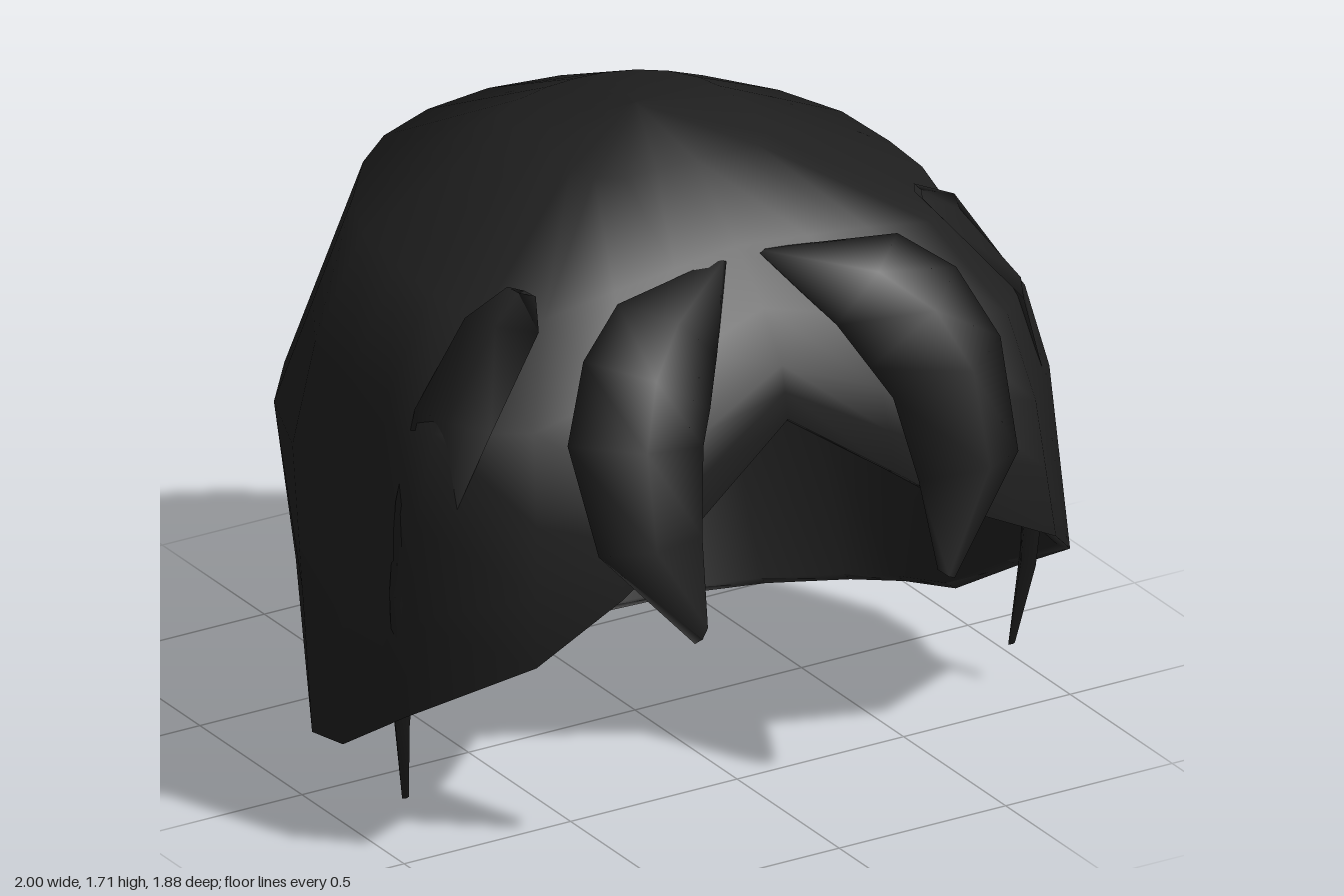
import * as THREE from 'three';

const hair = new THREE.MeshStandardMaterial({ color: 0x1f1f1f, side: THREE.DoubleSide });
hair.name = 'charcoal hair';

// Skins a list of closed rings (top to bottom, each counterclockwise from above)
function loft(rings, name) {
  const n = rings[0].length, index = [];
  for (let i = 0; i < rings.length - 1; i++) {
    for (let j = 0; j < n; j++) {
      const k = (j + 1) % n;
      const a = i * n + j, b = a + n, c = (i + 1) * n + k, d = i * n + k;
      index.push(a, b, c, a, c, d);
    }
  }
  const geometry = new THREE.BufferGeometry();
  geometry.setAttribute('position', new THREE.Float32BufferAttribute(rings.flat(2), 3));
  geometry.setIndex(index);
  geometry.computeVertexNormals();
  const mesh = new THREE.Mesh(geometry, hair);
  mesh.name = name;
  return mesh;
}

const flip = ([x, y, z]) => [-x, y, z];
const mirrorRings = rings => rings.map(r => r.map(flip).reverse());
// Completes a half ring running from front centre to back centre
const fullRing = half => [...half, ...half.slice(1, -1).reverse().map(flip)];
const mix = (a, b, t) => a.map((v, i) => v + (b[i] - v) * t);

function makeCap() {
  const rim = [[0, 1.11, .75], [.29, .91, .795], [.52, .74, .79], [.78, .61, .79],
    [1, .41, .5], [.95, .31, .33], [.92, .15, .07], [.89, .1, -.13],
    [.8, .08, -.25], [.63, .055, -.39], [.45, .035, -.48], [.22, .01, -.54], [0, 0, -.56]];
  const middle = [[0, 1.25, .72], [.27, 1.14, .77], [.5, 1.05, .77], [.75, .98, .74],
    [.95, .93, .48], [.93, .92, .25], [.91, .9, .05], [.9, .88, -.21],
    [.79, .87, -.48], [.63, .86, -.69], [.46, .86, -.83], [.24, .86, -.915], [0, .86, -.94]];
  const crown = [[0, 1.5, .5], [.2, 1.49, .52], [.38, 1.47, .52], [.58, 1.43, .5],
    [.71, 1.4, .38], [.74, 1.43, .2], [.74, 1.44, .04], [.72, 1.45, -.16],
    [.64, 1.46, -.34], [.51, 1.47, -.5], [.38, 1.47, -.61], [.2, 1.47, -.69], [0, 1.47, -.72]];
  // Rounds the front and sides, leaving the back straight
  const upper = middle.map((p, i) => {
    const [x, y, z] = mix(p, crown[i], .5);
    const s = i < 3 ? 1.03 : i < 7 ? 1.07 : i < 8 ? 1.04 : 1;
    return [x * s, y, z * s];
  });
  const lower = middle.map((p, i) => mix(p, rim[i], .5));
  // The top is a shallow dome with a slightly squared ring
  const top = crown.map(([x, , z]) => {
    const s = .29 / (x ** 4 + z ** 4) ** .25;
    const r = Math.hypot(x, z) * s;
    return [x * s, 1.71 - .045 * (r / .29) ** 2, z * s];
  });
  const pole = top.map(() => [0, 1.71, 0]);
  const outside = [pole, top, crown, upper, middle, lower, rim];
  // The lining follows the outside, slightly smaller, and joins it at the rim
  const lining = outside.map(ring => ring.map(([x, y, z]) =>
    [x * .97, .85 + (y - .85) * .97, z * .97])).reverse();
  return loft([...outside, ...lining].map(fullRing), 'hairCap');
}

// Each section: inner edge, front ridge, outer edge, back
const fringe = [
  [[.05, 1.48, .53], [.06, 1.485, .53], [.08, 1.48, .51], [.06, 1.47, .5]],
  [[.18, 1.31, .695], [.3, 1.435, .705], [.42, 1.475, .6], [.29, 1.37, .57]],
  [[.24, 1.2, .76], [.42, 1.33, .79], [.56, 1.37, .66], [.4, 1.27, .64]],
  [[.285, 1.12, .8], [.49, 1.17, .86], [.65, 1.18, .73], [.46, 1.14, .7]],
  [[.325, .9, .86], [.5, .92, .925], [.63, .91, .85], [.47, .92, .8]],
  [[.345, .67, .92], [.37, .65, .935], [.39, .64, .93], [.37, .66, .91]]
];

// Side strand: height, back x, back z, front x, front z, half thickness
const strand = [
  [1.48, .61, .37, .58, .46, .01], [1.42, .735, .365, .62, .54, .02],
  [1.2, .885, .365, .8, .6, .02], [.95, .94, .36, .89, .55, .02],
  [.7, .955, .355, .945, .49, .02], [.35, .94, .35, .94, .43, .02],
  [.11, .91, .355, .91, .365, .01]
].map(([y, xb, zb, xf, zf, t]) => {
  const x = (xb + xf) / 2, z = (zb + zf) / 2;
  return [[xf, y, zf], [x + t, y, z], [xb, y, zb], [x - t, y, z]];
});

export function createModel() {
  const model = new THREE.Group();
  model.name = 'hair';
  model.add(makeCap());
  // Curved fringe locks and hanging side strands on both sides
  for (const [part, rings] of [['FringeLock', fringe], ['SideStrand', strand]]) {
    model.add(loft(rings, 'left' + part));
    model.add(loft(mirrorRings(rings), 'right' + part));
  }
  return model;
}
